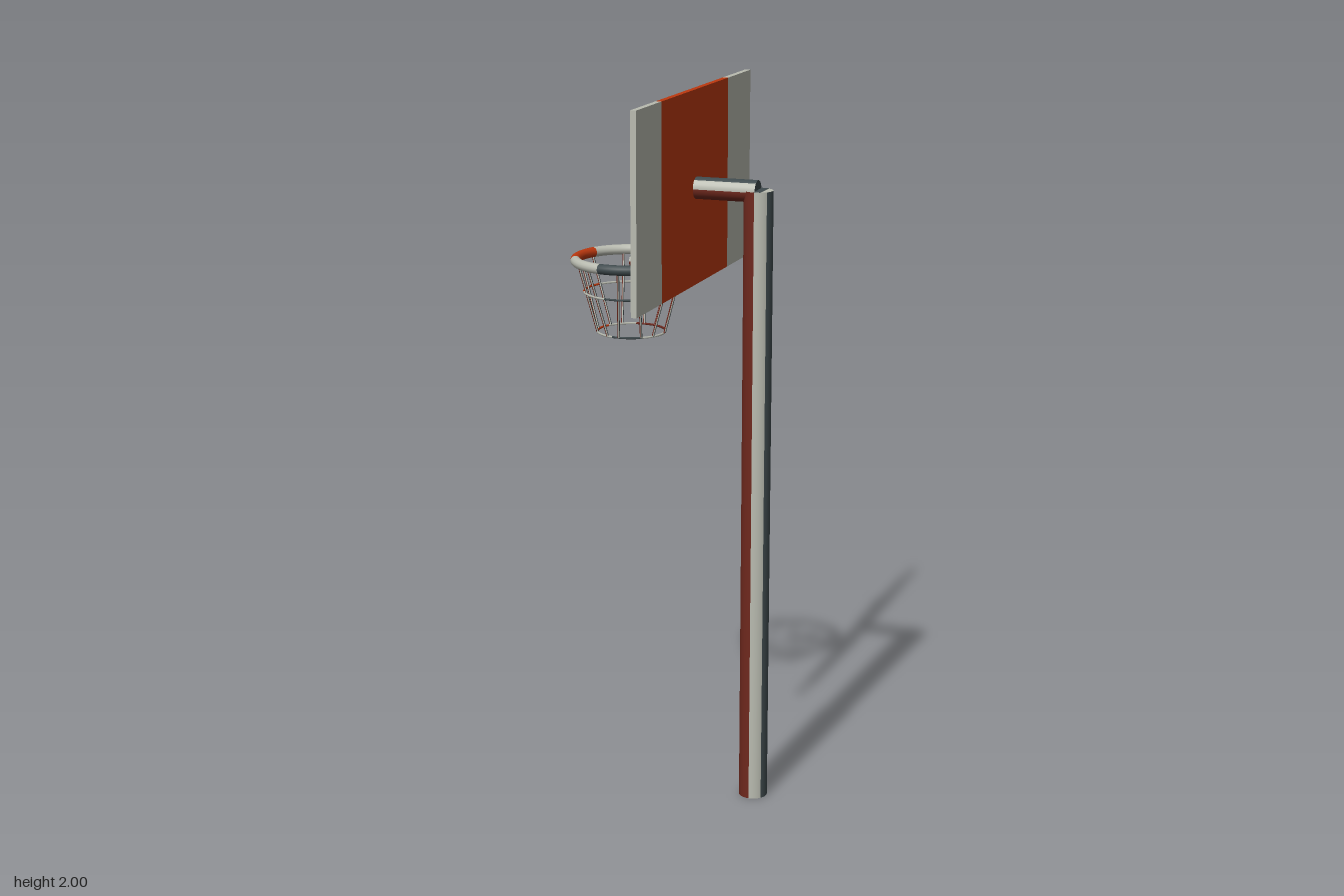
import * as THREE from 'three';

const make = (name, hex) => {
  const m = new THREE.MeshStandardMaterial({ color: hex });
  m.name = name;
  return m;
};

export function createModel() {
  const root = new THREE.Group();
  root.name = 'basketballHoop';
  const light = make('lightGrey', 0xb9bbb0);
  const orange = make('orange', 0xbc380f);
  const red = make('darkRed', 0x6e281d);
  const slate = make('slate', 0x3f4a4d);
  const mats = [light, slate, light, orange, light, red, red];
  const count = mats.length;

  const add = (parent, name, geometry, material, x = 0, y = 0, z = 0) => {
    const mesh = new THREE.Mesh(geometry, material);
    mesh.name = name;
    mesh.position.set(x, y, z);
    parent.add(mesh);
    return mesh;
  };
  const box = (parent, name, w, h, d, material, x, y, z) =>
    add(parent, name, new THREE.BoxGeometry(w, h, d), material, x, y, z);

  // Cylinder with seven painted stripes running along its length
  const striped = (radius, length, perStripe, topCap, bottomCap) => {
    const n = count * perStripe;
    const g = new THREE.CylinderGeometry(radius, radius, length, n, 1);
    g.clearGroups();
    for (let i = 0; i < count; i++) g.addGroup(i * perStripe * 6, perStripe * 6, i);
    g.addGroup(n * 6, n * 3, count);
    g.addGroup(n * 9, n * 3, count + 1);
    return [g, [...mats, topCap, bottomCap]];
  };

  // Ring painted in seven equal arcs
  const ring = (parent, name, radius, tube, y, sides, steps) => {
    const group = new THREE.Group();
    group.name = name;
    group.position.set(-0.12, y, 0);
    group.rotation.x = -Math.PI / 2;
    const arc = (Math.PI * 2) / count;
    for (let i = 0; i < count; i++) {
      const g = new THREE.TorusGeometry(radius, tube, sides, steps, arc);
      add(group, name + 'Arc', g, mats[count - 1 - i]).rotation.z = i * arc;
    }
    parent.add(group);
  };

  // Pole with a dark band across its top
  add(root, 'pole', ...striped(0.04, 1.738, 4, light, slate), 0.245, 0.869, 0);
  box(root, 'poleTopBand', 0.019, 0.002, 0.074, slate, 0.2525, 1.738, 0);

  // Arm from the pole to the board, and the bracket that holds the rim
  add(root, 'arm', ...striped(0.03, 0.177, 4, light, slate), 0.1545, 1.735, 0).rotation.z = Math.PI / 2;
  add(root, 'rimBracket', ...striped(0.017, 0.176, 3, light, slate), -0.032, 1.523, 0).rotation.z = Math.PI / 2;

  // Backboard: orange middle panel with two grey ends
  const board = new THREE.Group();
  board.name = 'backboard';
  board.position.set(0.061, 1.735, 0);
  root.add(board);
  box(board, 'middlePanel', 0.016, 0.53, 0.53, orange, 0, 0, 0.005);
  box(board, 'leftPanel', 0.016, 0.53, 0.185, light, 0, 0, 0.3625);
  box(board, 'rightPanel', 0.016, 0.53, 0.195, light, 0, 0, -0.3575);

  // Raised target frame on the hoop side
  const target = new THREE.Group();
  target.name = 'targetFrame';
  root.add(target);
  const bar = (length, material, y, z, flat) => {
    const g = new THREE.CylinderGeometry(0.005, 0.005, length, 10);
    const m = add(target, 'targetBar', g, material, 0.049, y, z);
    if (flat) m.rotation.x = Math.PI / 2;
  };
  bar(0.13, orange, 1.86, 0, true);
  for (const s of [-1, 1]) {
    bar(0.085, light, 1.86, s * 0.1075, true);
    bar(0.17, slate, 1.775, s * 0.15, false);
  }

  // Rim and net
  ring(root, 'rim', 0.153, 0.014, 1.525, 14, 9);
  const net = new THREE.Group();
  net.name = 'net';
  root.add(net);
  ring(net, 'netMiddleRing', 0.13, 0.003, 1.438, 6, 6);
  ring(net, 'netBottomRing', 0.094, 0.003, 1.326, 6, 6);
  const up = new THREE.Vector3(0, 1, 0);
  const onNet = (angle, radius, y) =>
    new THREE.Vector3(-0.12 + radius * Math.cos(angle), y, -radius * Math.sin(angle));
  for (let i = 0; i < 12; i++) {
    const a = (i * Math.PI) / 6 + Math.PI / 60;
    const lean = (i % 2 ? 1 : -1) * 0.07;
    const top = onNet(a + lean, 0.149, 1.518);
    const bottom = onNet(a - lean, 0.094, 1.326);
    const dir = top.clone().sub(bottom);
    const cord = add(net, 'netCord', ...striped(0.0035, dir.length(), 1, slate, slate));
    cord.position.copy(top).add(bottom).multiplyScalar(0.5);
    cord.quaternion.setFromUnitVectors(up, dir.normalize());
  }
  return root;
}
